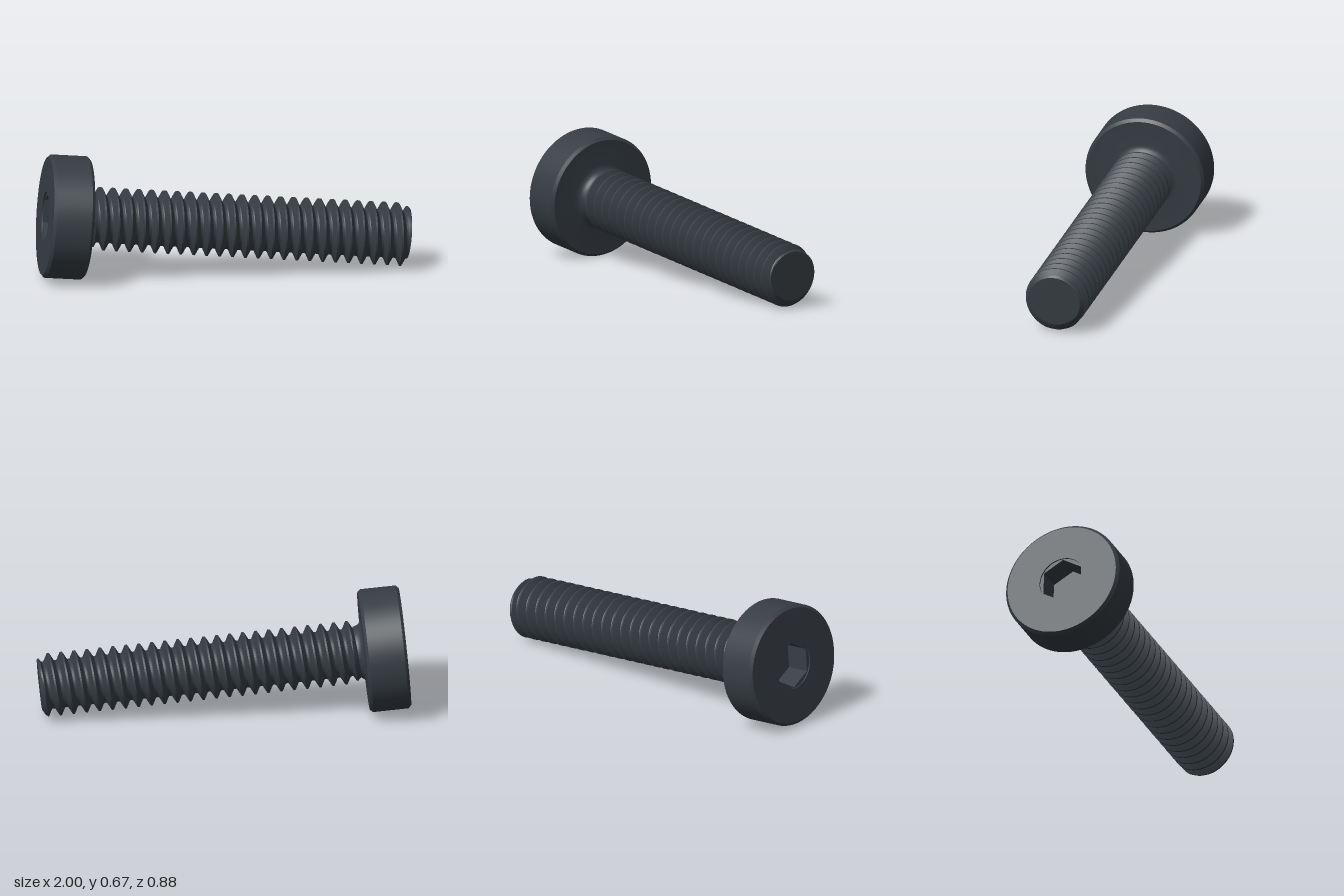
import * as THREE from 'three';
import { toCreasedNormals } from 'three/addons/utils/BufferGeometryUtils.js';

const LENGTH = 1.95, HEAD_R = 0.328, HEAD_T = 0.22;
const PITCH = 0.0693, CREST_R = 0.168, ROOT_R = 0.127;
const THREAD_START = 0.245, TIP_R = 0.141;

// Thread tooth: pairs of phase (0..1 of a pitch) and height
const TOOTH = [[0, 1], [0.07, 1], [0.2, 0.6], [0.36, 0.08], [0.43, 0], [0.57, 0], [0.64, 0.08], [0.8, 0.6], [0.93, 1], [1, 1]];

function toothHeight(phase) {
  const p = phase - Math.floor(phase);
  const i = Math.max(1, TOOTH.findIndex(k => k[0] >= p));
  const [a, ha] = TOOTH[i - 1], [b, hb] = TOOTH[i];
  return ha + (hb - ha) * (p - a) / (b - a);
}

// Grid of rows that follow the helix, closed at the tip
function threadGeometry() {
  const sides = 72, pos = [], index = [], offsets = [];
  const turns = Math.ceil((LENGTH - THREAD_START) / PITCH) + 2;
  for (let k = -2; k < turns; k++) for (const [p] of TOOTH.slice(0, -1)) offsets.push(k + p);
  for (const o of [...offsets, null]) {
    for (let i = 0; i <= sides; i++) {
      const t = i / sides * Math.PI * 2, turn = i / sides - 0.5;
      let y = LENGTH, r = 0;
      if (o !== null) {
        y = THREE.MathUtils.clamp(0.29 + PITCH * (o + turn), THREAD_START, LENGTH);
        r = ROOT_R + (CREST_R - ROOT_R) * toothHeight((y - 0.29) / PITCH - turn);
        // chamfered tip and run-in beside the neck
        r = Math.min(r, TIP_R + (LENGTH - y) * 0.9, 0.135 + (y - THREAD_START));
      }
      pos.push(Math.sin(t) * r, y, Math.cos(t) * r);
    }
  }
  const w = sides + 1;
  for (let j = 0; j < offsets.length; j++) {
    for (let i = 0; i < sides; i++) {
      const a = j * w + i, b = a + 1, c = a + w, d = c + 1;
      index.push(a, b, d, a, d, c);
    }
  }
  const g = new THREE.BufferGeometry();
  g.setAttribute('position', new THREE.Float32BufferAttribute(pos, 3));
  g.setIndex(index);
  return toCreasedNormals(g, 0.45);
}

// Flat ring facing the outer side of the head, with any outline as its hole
function ringGeometry(radius, holeRadius, holeSides) {
  const shape = new THREE.Shape().absarc(0, 0, radius, 0, Math.PI * 2);
  const hole = [];
  for (let i = 0; i < holeSides; i++) {
    const a = Math.PI / 2 + i / holeSides * Math.PI * 2;
    hole.push(new THREE.Vector2(Math.cos(a) * holeRadius, Math.sin(a) * holeRadius));
  }
  shape.holes.push(new THREE.Path(hole));
  return new THREE.ShapeGeometry(shape, 48).rotateX(Math.PI / 2);
}

export function createModel() {
  const steel = new THREE.MeshStandardMaterial({ color: 0x363d43, side: THREE.DoubleSide });
  steel.name = 'dark steel';
  const bolt = new THREE.Group();
  bolt.name = 'bolt';
  const add = (name, geometry, y = 0) => {
    const mesh = new THREE.Mesh(geometry, steel);
    mesh.name = name;
    mesh.position.y = y;
    bolt.add(mesh);
  };

  // Head with chamfered rims and a fillet into the shank
  const profile = [[HEAD_R - 0.015, 0], [HEAD_R, 0.015], [HEAD_R, HEAD_T - 0.015], [HEAD_R - 0.015, HEAD_T]];
  for (let i = 0; i <= 6; i++) {
    const a = i / 6 * Math.PI / 2;
    profile.push([0.18 - 0.045 * Math.sin(a), HEAD_T + 0.045 * (1 - Math.cos(a))]);
  }
  const points = profile.map(p => new THREE.Vector2(...p));
  add('head', toCreasedNormals(new THREE.LatheGeometry(points, 96), 0.5));
  add('headFace', ringGeometry(HEAD_R - 0.015, 0.128, 48));

  // Hex socket sunk into the face
  add('socketRim', new THREE.CylinderGeometry(0.128, 0.128, 0.008, 48, 1, true), 0.004);
  add('socketLedge', ringGeometry(0.128, 0.124, 6), 0.008);
  add('socketWalls', toCreasedNormals(new THREE.CylinderGeometry(0.124, 0.124, 0.132, 6, 1, true), 0.3), 0.074);
  add('socketFloor', new THREE.CircleGeometry(0.124, 6, Math.PI / 2).rotateX(Math.PI / 2), 0.14);

  add('threadedShank', threadGeometry());

  // Lay the bolt along its tilted axis
  const axis = new THREE.Vector3(1, -0.09, 0.215).normalize();
  const across = new THREE.Vector3(0, 1, 0).cross(axis).normalize();
  const basis = new THREE.Matrix4().makeBasis(across, axis, across.clone().cross(axis));
  bolt.quaternion.setFromRotationMatrix(basis);
  bolt.position.set(-0.93, 0.345, -0.122);

  const model = new THREE.Group();
  model.name = 'capScrew';
  model.add(bolt);
  return model;
}
